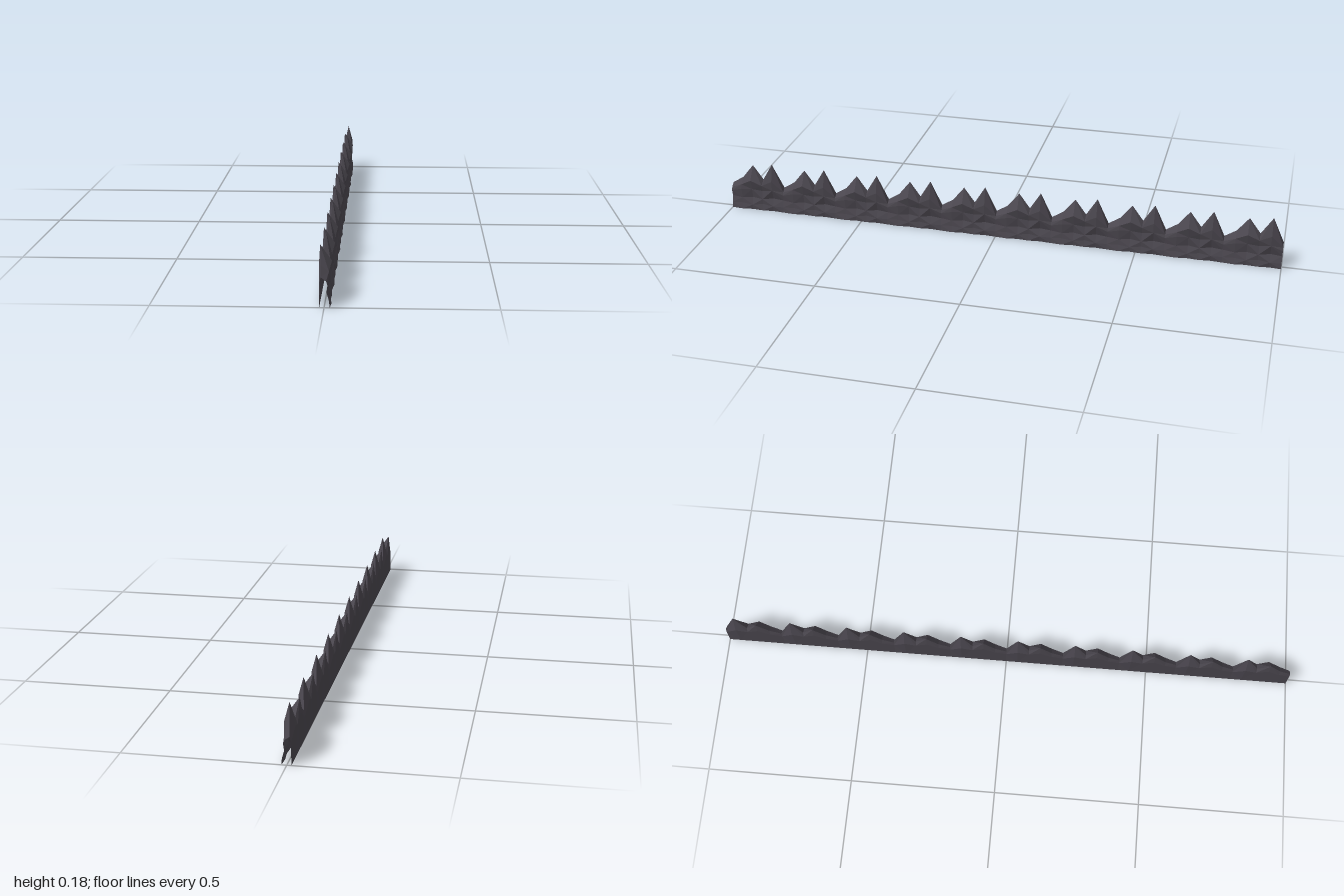
import * as THREE from 'three';

const REPEATS = 10;
const STEP = 0.04; // spacing of the cross-sections along the wall

// One repeat of the wall: five cross-sections [x, y], each running from the
// foot of the rocky face, up over the crest and down the smooth back.
const SECTIONS = [
  // valley
  [[0.015, 0], [0.013, 0.02], [0.006, 0.045], [0.009, 0.066], [0.005, 0.078], [-0.011, 0.09], [-0.014, 0.07], [-0.015, 0]],
  // rising slope
  [[0.018, 0], [0.012, 0.022], [0.010, 0.042], [0.013, 0.078], [0.011, 0.095], [-0.013, 0.115], [-0.018, 0.09], [-0.015, 0]],
  // short spike
  [[0.013, 0], [0.014, 0.018], [0.005, 0.046], [0.010, 0.08], [0.018, 0.117], [-0.016, 0.165], [-0.019, 0.118], [-0.015, 0]],
  // saddle
  [[0.016, 0], [0.011, 0.024], [0.012, 0.044], [0.007, 0.075], [0.013, 0.098], [-0.010, 0.115], [-0.018, 0.095], [-0.015, 0]],
  // tall spike
  [[0.012, 0], [0.015, 0.02], [0.004, 0.048], [0.013, 0.083], [0.014, 0.119], [-0.003, 0.181], [-0.020, 0.11], [-0.015, 0]],
];

// Skin the repeating cross-sections from +z to -z, open below and at the ends
function wallGeometry() {
  const columns = REPEATS * SECTIONS.length;
  const rows = SECTIONS[0].length;
  const positions = [];
  const index = [];
  for (let i = 0; i <= columns; i++) {
    for (const [x, y] of SECTIONS[i % SECTIONS.length]) positions.push(x, y, 1 - i * STEP);
  }
  for (let i = 0; i < columns; i++) {
    for (let j = 0; j < rows - 1; j++) {
      const a = i * rows + j, b = a + rows, c = b + 1, d = a + 1;
      // alternate the diagonals for a chipped rock look
      if ((i % SECTIONS.length + j) % 2) index.push(a, b, c, a, c, d);
      else index.push(a, b, d, b, c, d);
    }
  }
  const geometry = new THREE.BufferGeometry();
  geometry.setAttribute('position', new THREE.Float32BufferAttribute(positions, 3));
  geometry.setIndex(index);
  geometry.computeVertexNormals();
  return geometry;
}

export function createModel() {
  const group = new THREE.Group();
  group.name = 'spikedRockWall';
  const rock = new THREE.MeshStandardMaterial({ color: 0x4a464e, flatShading: true, side: THREE.DoubleSide });
  const wall = new THREE.Mesh(wallGeometry(), rock);
  wall.name = 'rockRidge';
  wall.position.x = 0.001;
  group.add(wall);
  return group;
}
